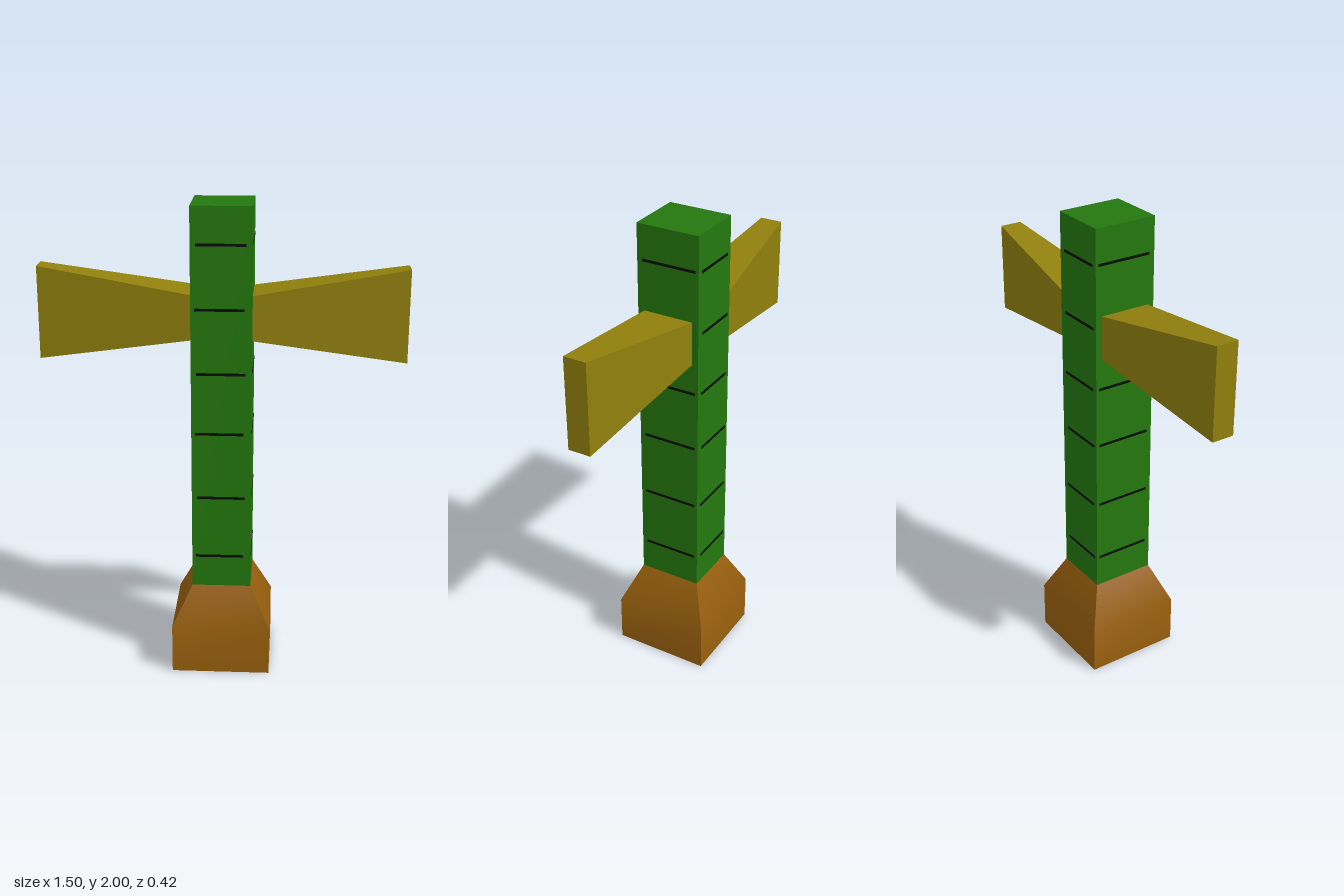
import * as THREE from 'three';

const CORNERS = [[1, 1], [1, -1], [-1, -1], [-1, 1]];

// Four-sided solid through rings [y, halfX, halfZ]; each side is smooth along its length, with sharp corners.
function loft(rings) {
  const pos = [], index = [];
  const point = ([y, hx, hz], k) => pos.push(CORNERS[k % 4][0] * hx, y, CORNERS[k % 4][1] * hz);
  for (let k = 0; k < 4; k++) {
    const s = pos.length / 3;
    rings.forEach((r) => { point(r, k); point(r, k + 1); });
    for (let i = 0; i < rings.length - 1; i++) {
      const a = s + i * 2;
      index.push(a, a + 1, a + 3, a, a + 3, a + 2);
    }
  }
  // End caps
  for (const top of [false, true]) {
    const s = pos.length / 3;
    for (let k = 0; k < 4; k++) point(top ? rings[rings.length - 1] : rings[0], k);
    index.push(...(top ? [s, s + 1, s + 2, s, s + 2, s + 3] : [s, s + 2, s + 1, s, s + 3, s + 2]));
  }
  const geometry = new THREE.BufferGeometry();
  geometry.setAttribute('position', new THREE.Float32BufferAttribute(pos, 3));
  geometry.setIndex(index);
  geometry.computeVertexNormals();
  return geometry;
}

function material(name, color) {
  const m = new THREE.MeshStandardMaterial({ color });
  m.name = name;
  return m;
}

export function createModel() {
  const group = new THREE.Group();
  const green = material('green', 0x24780e);
  const brown = material('brown', 0x985f0d);
  const olive = material('olive', 0x91800d);
  const black = material('black', 0x0a0a0a);

  const add = (name, geometry, mat, x = 0, y = 0, z = 0) => {
    const mesh = new THREE.Mesh(geometry, mat);
    mesh.name = name;
    mesh.position.set(x, y, z);
    group.add(mesh);
    return mesh;
  };

  // Square foot that narrows to meet the post
  add('base', loft([[0, 0.208, 0.208], [0.21, 0.208, 0.208], [0.38, 0.124, 0.136]]), brown);

  // Upright post
  add('post', new THREE.BoxGeometry(0.248, 1.62, 0.272), green, 0, 1.19, 0);

  // Arms flare in height and thin out in depth toward the tips
  const arm = loft([[0.12, 0.092, 0.108], [0.752, 0.192, 0.048]]);
  for (const side of [1, -1]) {
    add(side > 0 ? 'leftArm' : 'rightArm', arm, olive, 0, 1.548, 0).rotation.z = -side * Math.PI / 2;
  }

  // Thin dark bands on the four faces of the post
  const frontBand = new THREE.BoxGeometry(0.2, 0.011, 0.003);
  const sideBand = new THREE.BoxGeometry(0.003, 0.011, 0.235);
  [0.518, 0.784, 1.066, 1.322, 1.588, 1.848].forEach((y, i) => {
    const shift = i % 2 ? -0.002 : -0.008;
    for (const s of [1, -1]) {
      add('faceBand', frontBand, black, shift, y, s * 0.136);
      if (i !== 4) add('sideBand', sideBand, black, s * 0.124, y + 0.005, -0.005);
    }
  });

  return group;
}
